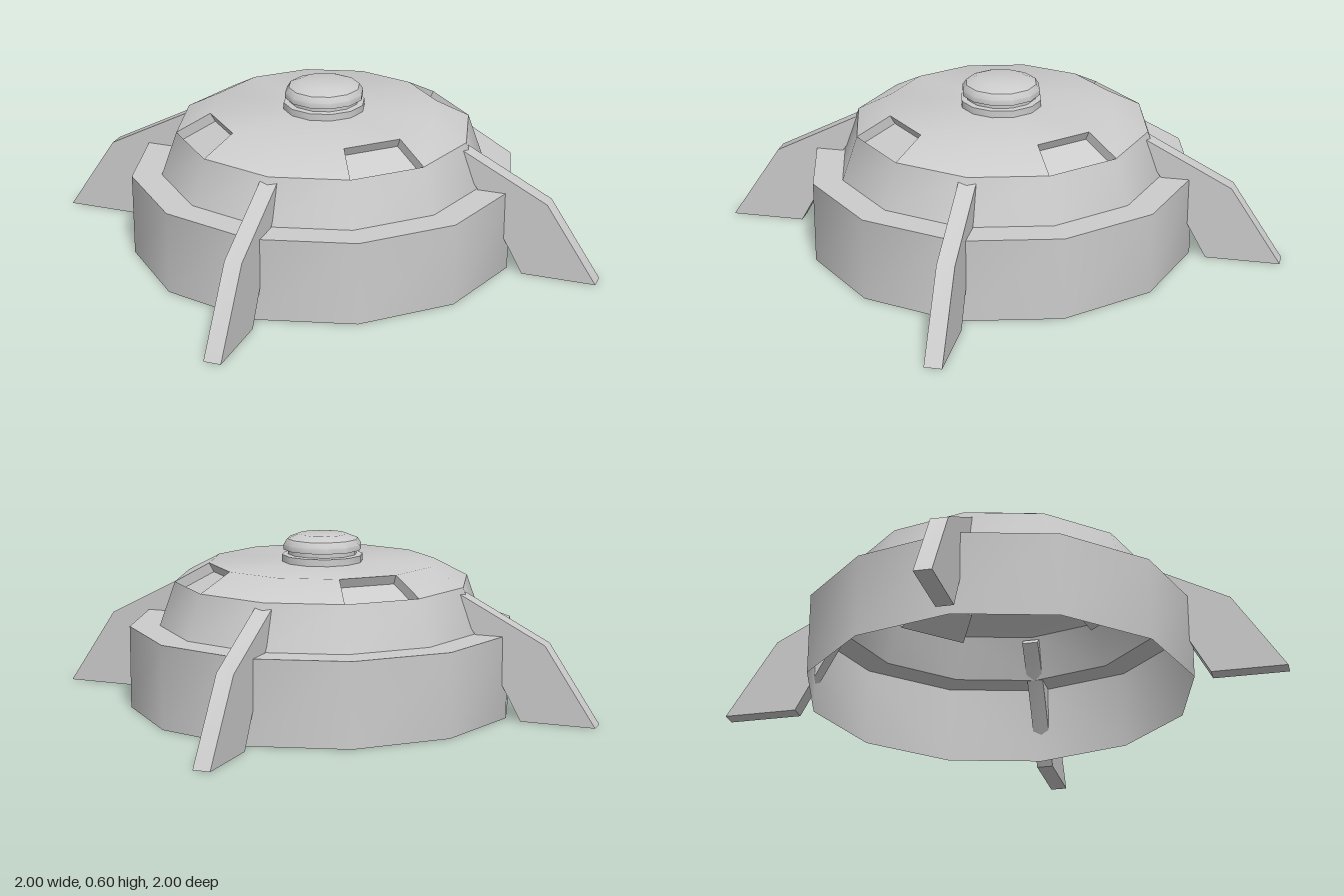
import * as THREE from 'three';
import { toCreasedNormals } from 'three/addons/utils/BufferGeometryUtils.js';

const SIDES = 12;
const CREASE = THREE.MathUtils.degToRad(35);
const grey = new THREE.MeshStandardMaterial({ color: 0xcccccc, side: THREE.DoubleSide });

function part(name, geometry) {
  const mesh = new THREE.Mesh(toCreasedNormals(geometry, CREASE), grey);
  mesh.name = name;
  return mesh;
}

// Hollow twelve-sided housing with four recessed panels in its upper bevel
function housingGeometry() {
  const profile = [[0.68, 0], [0.68, 0.29], [0.575, 0.29], [0.52, 0.445], [0.4, 0.508]];
  const BEVEL = 3, DEPTH = 0.037;
  const positions = [];
  const point = ([r, y], i) => {
    const a = ((i % SIDES) / SIDES) * Math.PI * 2;
    return new THREE.Vector3(r * Math.sin(a), y, r * Math.cos(a));
  };
  const tri = (...corners) => corners.forEach((p) => positions.push(p.x, p.y, p.z));
  const quad = (a, b, c, d) => { tri(a, b, c); tri(a, c, d); };

  for (let i = 0; i < SIDES; i++) {
    for (let k = 0; k < profile.length - 1; k++) {
      const corners = [
        point(profile[k], i), point(profile[k], i + 1),
        point(profile[k + 1], i + 1), point(profile[k + 1], i),
      ];
      if (k === BEVEL && i % 3 === 1) {
        // Recess: sink the panel along its normal and add four walls
        const normal = new THREE.Triangle(corners[0], corners[1], corners[2]).getNormal(new THREE.Vector3());
        const sunk = corners.map((p) => p.clone().addScaledVector(normal, -DEPTH));
        quad(...sunk);
        for (let e = 0; e < 4; e++) {
          const n = (e + 1) % 4;
          quad(corners[e], corners[n], sunk[n], sunk[e]);
        }
      } else {
        quad(...corners);
      }
    }
    // Flat top
    const rim = profile[profile.length - 1];
    tri(point(rim, i), point(rim, i + 1), new THREE.Vector3(0, rim[1], 0));
  }
  const geometry = new THREE.BufferGeometry();
  geometry.setAttribute('position', new THREE.Float32BufferAttribute(positions, 3));
  return geometry;
}

// Bent fin-shaped leg, drawn in the xy plane and centred on z
function legGeometry() {
  const thickness = 0.06;
  const outline = [[0.74, 0], [1, 0], [0.82, 0.27], [0.51, 0.43], [0.49, 0.41], [0.595, 0.26]];
  const shape = new THREE.Shape(outline.map(([x, y]) => new THREE.Vector2(x, y)));
  return new THREE.ExtrudeGeometry(shape, { depth: thickness, bevelEnabled: false })
    .translate(0, 0, -thickness / 2);
}

// Domed push button with a grooved collar
function buttonGeometry() {
  const profile = [
    [0.143, 0.5], [0.143, 0.532], [0.122, 0.534], [0.122, 0.548],
    [0.138, 0.55], [0.138, 0.568], [0.125, 0.588], [0.085, 0.604], [0, 0.604],
  ];
  return new THREE.LatheGeometry(profile.map(([x, y]) => new THREE.Vector2(x, y)), SIDES);
}

export function createModel() {
  const model = new THREE.Group();
  model.name = 'footedDevice';
  model.add(part('housing', housingGeometry()), part('button', buttonGeometry()));

  const legs = new THREE.Group();
  legs.name = 'legs';
  ['leftLeg', 'backLeg', 'rightLeg', 'frontLeg'].forEach((name, i) => {
    const leg = part(name, legGeometry());
    leg.rotation.y = (i * Math.PI) / 2;
    legs.add(leg);
  });
  model.add(legs);
  return model;
}
